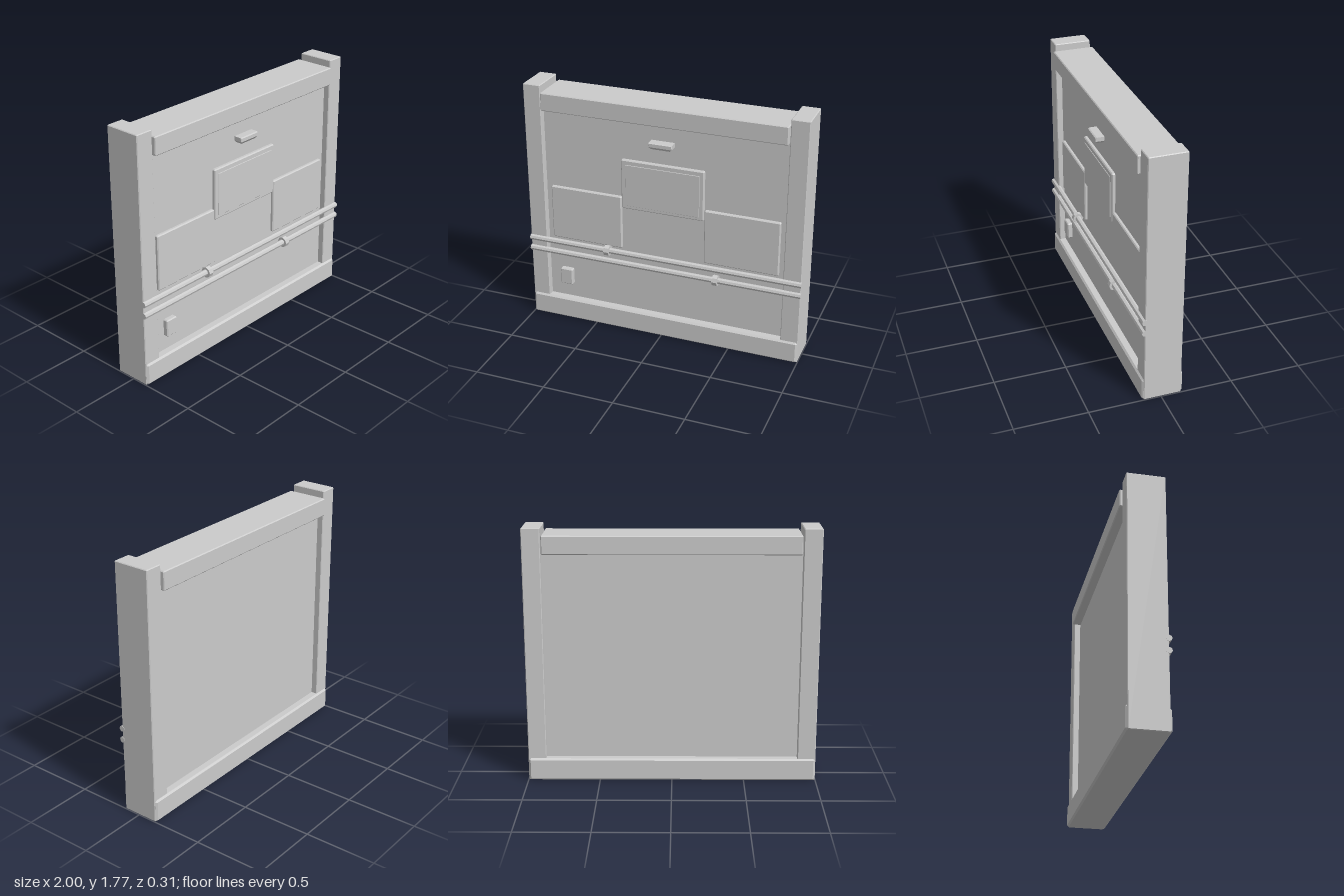
import * as THREE from 'three';
import { ConvexGeometry } from 'three/addons/geometries/ConvexGeometry.js';

const material = new THREE.MeshStandardMaterial({ color: 0xcccccc, flatShading: true });

export function createModel() {
  const group = new THREE.Group();

  const add = (name, geometry) => {
    const mesh = new THREE.Mesh(geometry, material);
    mesh.name = name;
    group.add(mesh);
    return mesh;
  };

  // Box with chamfered edges, given by its limits on each axis
  const bevelBox = (name, [x0, x1], [y0, y1], [z0, z1], bevel) => {
    const half = [(x1 - x0) / 2, (y1 - y0) / 2, (z1 - z0) / 2];
    const points = [];
    for (const sx of [-1, 1]) for (const sy of [-1, 1]) for (const sz of [-1, 1]) {
      for (let full = 0; full < 3; full++) {
        const p = [sx, sy, sz].map((s, i) => s * (half[i] - (i === full ? 0 : bevel)));
        points.push(new THREE.Vector3(...p));
      }
    }
    const mesh = add(name, new ConvexGeometry(points));
    mesh.position.set((x0 + x1) / 2, (y0 + y1) / 2, (z0 + z1) / 2);
    return mesh;
  };

  // Eight-sided bar along x
  const bar = (name, radius, length, x, y, z) => {
    const geometry = new THREE.CylinderGeometry(radius, radius, length, 8);
    geometry.rotateZ(Math.PI / 2);
    add(name, geometry).position.set(x, y, z);
  };

  // Wall panel and its frame
  add('wallPanel', new THREE.BoxGeometry(1.76, 1.56, 0.17)).position.set(0, 0.88, -0.01);
  bevelBox('topBeam', [-0.865, 0.865], [1.612, 1.74], [-0.157, 0.137], 0.006);
  bevelBox('baseBoard', [-0.994, 0.994], [0.014, 0.172], [-0.152, 0.132], 0.012);

  for (const [side, s] of [['left', 1], ['right', -1]]) {
    const span = (a, b) => [a * s, b * s].sort((p, q) => p - q);
    bevelBox(side + 'Post', span(0.872, 0.998), [0.014, 1.786], [-0.14, 0.12], 0.005);
    bevelBox(side + 'Board', span(0.302, 0.832), [0.647, 1.043], [0.06, 0.097], 0.007);
  }

  // Monitor with a thin screen on its face
  bevelBox('monitor', [-0.298, 0.298], [0.963, 1.326], [0.06, 0.099], 0.007);
  bevelBox('screen', [-0.267, 0.267], [0.988, 1.292], [0.08, 0.103], 0.002);

  // Wall lamp: a box whose lower part slopes back to the wall
  const lampPoints = [];
  for (const s of [-1, 1]) {
    for (const [x, y, z] of [
      [0.083, 1.493, 0.07], [0.083, 1.493, 0.128], [0.078, 1.488, 0.137],
      [0.083, 1.464, 0.137], [0.083, 1.464, 0.07],
      [0.066, 1.446, 0.122], [0.066, 1.446, 0.07],
    ]) lampPoints.push(new THREE.Vector3(s * x, y, z));
  }
  add('wallLamp', new ConvexGeometry(lampPoints));

  // Small switch box
  bevelBox('switchBox', [-0.782, -0.69], [0.28, 0.404], [0.06, 0.11], 0.007);

  // Horizontal pipes, each held by one clamp
  for (const [name, y, clampX] of [['upper', 0.625, -0.402], ['lower', 0.543, 0.398]]) {
    bar(name + 'Pipe', 0.021, 2, 0, y, 0.12);
    bar(name + 'Clamp', 0.038, 0.036, clampX, y, 0.12);
  }

  return group;
}
